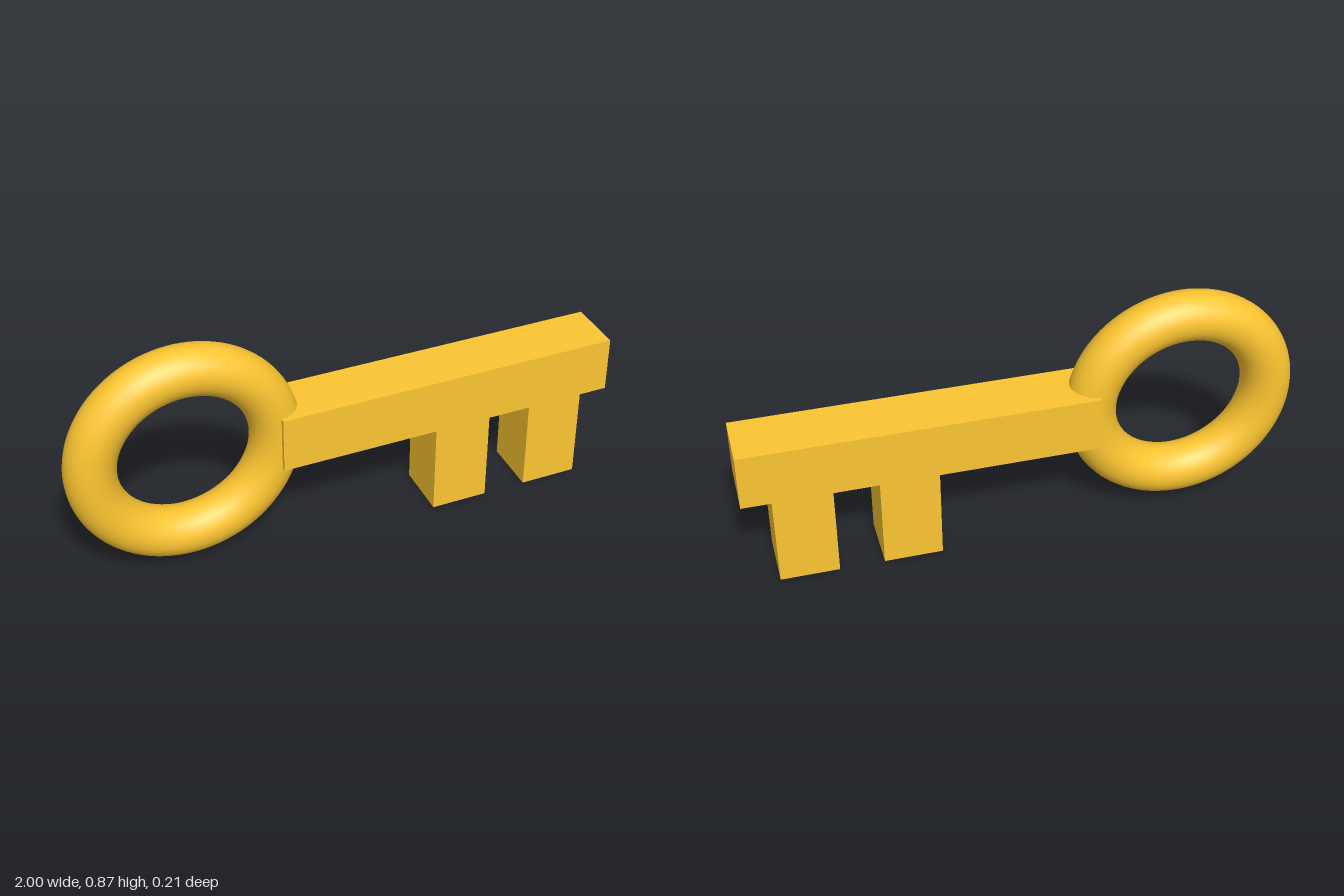
import * as THREE from 'three';

export function createModel() {
  const key = new THREE.Group();
  key.name = 'key';
  const gold = new THREE.MeshStandardMaterial({ color: 0xfbc531 });

  // Ring handle
  const bow = new THREE.Mesh(new THREE.TorusGeometry(0.328, 0.09, 32, 96), gold);
  bow.name = 'ringHandle';
  bow.position.set(-0.582, 0.45, 0);
  key.add(bow);

  // Square shaft and its two teeth, cut as one silhouette
  const left = -0.262, right = 1, top = 0.553, bottom = 0.345, depth = 0.21;
  const outline = new THREE.Shape();
  outline.moveTo(left, top);
  outline.lineTo(left, bottom);
  for (const x of [0.315, 0.685]) {
    outline.lineTo(x, bottom);
    outline.lineTo(x, 0);
    outline.lineTo(x + 0.21, 0);
    outline.lineTo(x + 0.21, bottom);
  }
  outline.lineTo(right, bottom);
  outline.lineTo(right, top);
  outline.closePath();
  const geometry = new THREE.ExtrudeGeometry(outline, { depth, bevelEnabled: false });
  geometry.translate(0, 0, -depth / 2);
  const blade = new THREE.Mesh(geometry, gold);
  blade.name = 'shaftWithTeeth';
  key.add(blade);

  return key;
}
